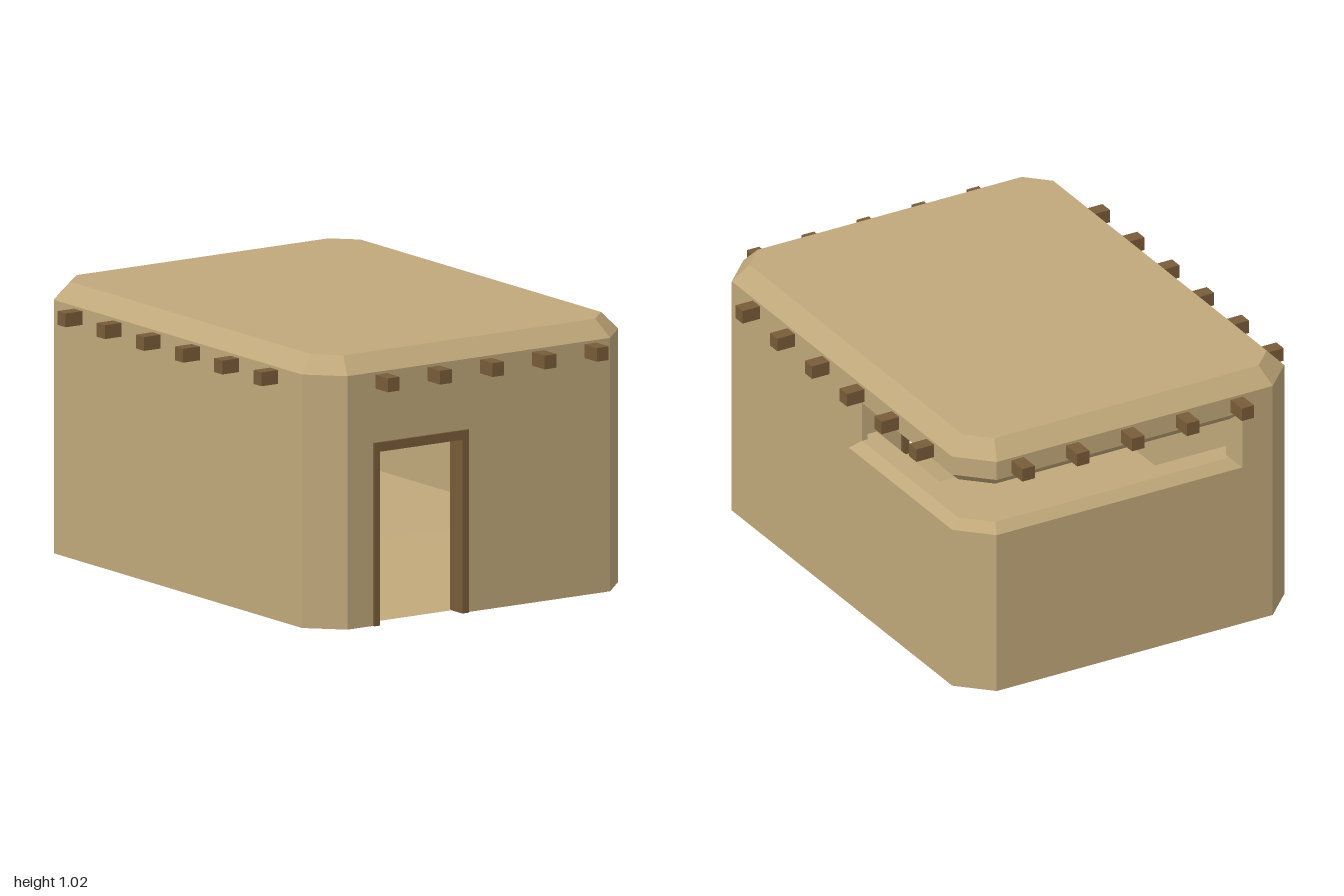
import * as THREE from 'three';

const sand = new THREE.MeshStandardMaterial({ color: 0xc0a87a, side: THREE.DoubleSide });
sand.name = 'sand plaster';
const wood = new THREE.MeshStandardMaterial({ color: 0x785c39 });
wood.name = 'brown timber';

// Half sizes of the chamfered plan: outer faces and corner points
const X = 0.71, Z = 0.92, CX = 0.59, CZ = 0.8;
const WALL = 0.06, EAVE = 0.955, TOP = 1.02;

// Moves a point of the outer outline inwards by d, mitred at the corners
function inset([x, z], d) {
  const fx = Math.abs(x) === X ? 1 : Math.abs(x) === CX ? 0.414 : 0;
  const fz = Math.abs(z) === Z ? 1 : Math.abs(z) === CZ ? 0.414 : 0;
  return [x - Math.sign(x) * d * fx, z - Math.sign(z) * d * fz];
}

function flatGeometry(positions, index) {
  const g = new THREE.BufferGeometry();
  g.setAttribute('position', new THREE.Float32BufferAttribute(positions, 3));
  g.setIndex(index);
  const flat = g.toNonIndexed();
  flat.computeVertexNormals();
  return flat;
}

// Sweeps a closed wall profile of [depth, height] points along the outline
function sweep(path, profile) {
  const pos = [], idx = [], n = profile.length;
  for (const p of path) {
    for (const [d, y] of profile) {
      const [x, z] = inset(p, d);
      pos.push(x, y, z);
    }
  }
  for (let i = 0; i < path.length - 1; i++) {
    for (let j = 0; j < n; j++) {
      const k = (j + 1) % n;
      const a = i * n + j, b = a + n, c = (i + 1) * n + k, d = i * n + k;
      idx.push(a, b, c, a, c, d);
    }
  }
  const caps = THREE.ShapeUtils.triangulateShape(profile.map(p => new THREE.Vector2(...p)), []);
  const last = (path.length - 1) * n;
  for (const [a, b, c] of caps) idx.push(a, b, c, last + a, last + c, last + b);
  return flatGeometry(pos, idx);
}

// Upright prism over a plan of [x, z] points
function prism(plan, y0, y1) {
  const shape = new THREE.Shape(plan.map(([x, z]) => new THREE.Vector2(x, -z)));
  const g = new THREE.ExtrudeGeometry(shape, { depth: y1 - y0, bevelEnabled: false });
  return g.rotateX(-Math.PI / 2).translate(0, y0, 0);
}

export function createModel() {
  const model = new THREE.Group();
  model.name = 'bunker';
  const add = (name, geometry, material) => {
    const mesh = new THREE.Mesh(geometry, material);
    mesh.name = name;
    model.add(mesh);
    return mesh;
  };

  // Walls: plain runs either side of the doorway, and the lintel over it
  const slitZ = -0.05, slitX = -0.46, doorL = -0.065, doorR = -0.46;
  const full = y => [[0, y], [0, EAVE], [WALL, EAVE], [WALL, y]];
  add('rightWall', sweep([[slitX, -Z], [-CX, -Z], [-X, -CZ], [-X, CZ], [-CX, Z], [doorR, Z]], full(0)), sand);
  add('doorLintelWall', sweep([[doorR, Z], [doorL, Z]], full(0.67)), sand);
  add('leftWall', sweep([[doorL, Z], [CX, Z], [X, CZ], [X, slitZ]], full(0)), sand);

  // Walls around the viewing slit that wraps the back left corner
  const slitPath = [[X, slitZ], [X, -CZ], [CX, -Z], [slitX, -Z]];
  add('slitSillWall', sweep(slitPath, [
    [0, 0], [0, 0.65], [0.035, 0.685], [0.12, 0.685], [0.12, 0.62], [WALL, 0.62], [WALL, 0],
  ]), sand);
  add('slitHeadWall', sweep(slitPath, [
    [WALL, 0.845], [0.035, 0.845], [0, 0.88], [0, EAVE], [WALL, EAVE],
  ]), sand);

  // Bevelled ends of the slit
  add('slitSideEnd', prism([
    [X, slitZ], [X - 0.035, slitZ - 0.035], [X - WALL, slitZ - 0.035], [X - WALL, slitZ],
  ], 0.65, 0.88), sand);
  add('slitBackEnd', prism([
    [slitX, -Z], [slitX + 0.035, -Z + 0.035], [slitX + 0.035, -Z + WALL], [slitX, -Z + WALL],
  ], 0.65, 0.88), sand);

  // Roof slab with sloping edges
  const outline = [[X, -CZ], [CX, -Z], [-CX, -Z], [-X, -CZ], [-X, CZ], [-CX, Z], [CX, Z], [X, CZ]];
  const roof = prism(outline, EAVE, TOP);
  const p = roof.attributes.position;
  for (let i = 0; i < p.count; i++) {
    if (p.getY(i) < 1) continue;
    const x = p.getX(i), z = p.getZ(i);
    p.setX(i, x - Math.sign(x) * (Math.abs(x) > 0.65 ? 0.06 : 0.025));
    p.setZ(i, z - Math.sign(z) * (Math.abs(z) > 0.86 ? 0.06 : 0.025));
  }
  roof.computeVertexNormals();
  add('roof', roof, sand);

  // Raised floor with a ramp down to the doorway: [z, half width, y]
  const sections = [[-0.87, 0.57, 0.17], [-0.785, 0.655, 0.17], [0.33, 0.655, 0.17],
    [0.785, 0.655, 0.024], [0.86, 0.57, 0]];
  const floorPos = [], floorIdx = [];
  sections.forEach(([z, w, y], i) => {
    floorPos.push(-w, y, z, w, y, z);
    const a = i * 2;
    if (i < sections.length - 1) floorIdx.push(a, a + 2, a + 3, a, a + 3, a + 1);
  });
  add('floorAndRamp', flatGeometry(floorPos, floorIdx), sand);

  // Door frame: an upside-down U
  const frame = new THREE.Shape([
    [-0.475, 0], [-0.475, 0.69], [-0.05, 0.69], [-0.05, 0],
    [-0.08, 0], [-0.08, 0.655], [-0.45, 0.655], [-0.45, 0],
  ].map(q => new THREE.Vector2(...q)));
  const frameGeo = new THREE.ExtrudeGeometry(frame, { depth: 0.08, bevelEnabled: false });
  add('doorFrame', frameGeo.translate(0, 0, 0.85), wood);

  // Roof beams running through the walls and sticking out on all sides
  for (let i = 0; i < 6; i++) {
    const beam = add('crossBeam', new THREE.BoxGeometry(1.57, 0.052, 0.053), wood);
    beam.position.set(0, 0.919, -0.642 + i * 0.2525);
  }
  for (let i = 0; i < 5; i++) {
    const beam = add('longBeam', new THREE.BoxGeometry(0.053, 0.052, 2), wood);
    beam.position.set(-0.437 + i * 0.2345, 0.919, 0);
  }
  return model;
}
